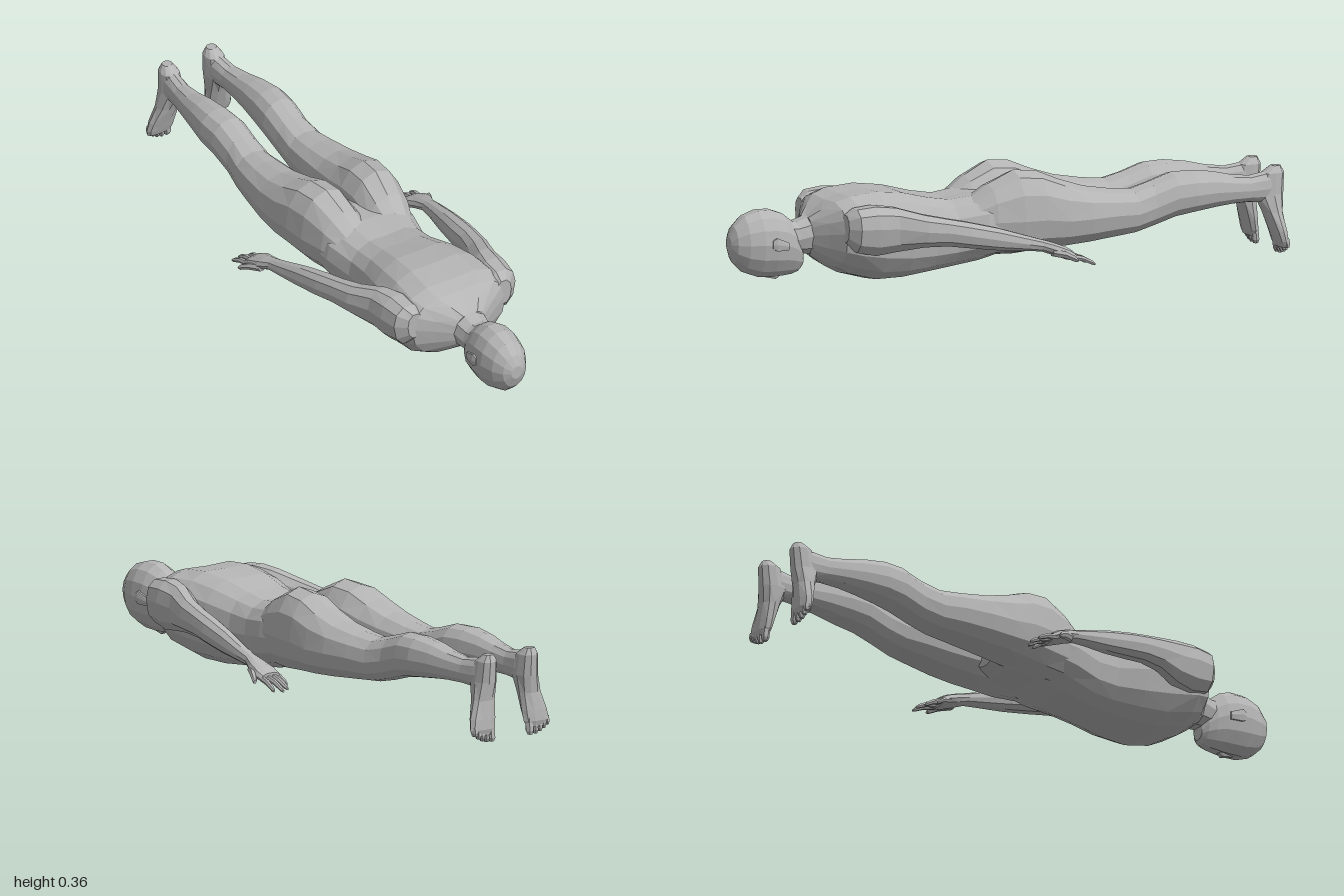
import * as THREE from 'three';

const skin = new THREE.MeshStandardMaterial({ color: 0xb4b4b4, flatShading: true });
skin.name = 'grey';

// Loft through rings [centreX, t, halfWidth, low, mid, high].
// Along 'z', low/mid/high are heights; along 'y' they are front/mid/back depths.
// t must decrease from ring to ring.
function loft(name, rings, { axis = 'z', sides = 12, side = 1, power = 0.9, groove = 0 } = {}) {
  const pos = [], index = [];
  const add = (x, t, v) => (axis === 'z' ? pos.push(x, v, t) : pos.push(x, t, v));
  const bend = (v) => Math.sign(v) * Math.pow(Math.abs(v), power);
  for (const [cx, t, rx, lo, mid, hi] of rings) {
    for (let i = 0; i < sides; i++) {
      const a = (i / sides) * Math.PI * 2;
      const c = bend(Math.cos(a)), s = bend(Math.sin(a));
      let v = mid + (s > 0 ? s * (hi - mid) : s * (mid - lo));
      if (s > 0.99) v -= groove;
      add(cx * side + rx * c, t, v);
    }
  }
  const last = rings.length - 1;
  for (let r = 0; r < last; r++) {
    for (let i = 0; i < sides; i++) {
      const a = r * sides + i, a1 = r * sides + (i + 1) % sides;
      const b = a + sides, b1 = a1 + sides;
      if ((r + i) % 2) index.push(a, b, a1, a1, b, b1);
      else index.push(a, b, b1, a, b1, a1);
    }
  }
  // end caps
  for (const r of [0, last]) {
    const [cx, t, , lo, , hi] = rings[r];
    const centre = pos.length / 3;
    add(cx * side, t, (lo + hi) / 2);
    for (let i = 0; i < sides; i++) {
      const p = r * sides + i, q = r * sides + (i + 1) % sides;
      if (r === 0) index.push(centre, p, q);
      else index.push(centre, q, p);
    }
  }
  const g = new THREE.BufferGeometry();
  g.setAttribute('position', new THREE.Float32BufferAttribute(pos, 3));
  g.setIndex(index);
  g.computeVertexNormals();
  const m = new THREE.Mesh(g, skin);
  m.name = name;
  return m;
}

// Tapering digit bent at the middle, running from base to tip
function digit(name, base, tip, r, side) {
  const rings = [[0, 1], [0.5, 0.95], [0.88, 0.8], [1, 0.4]].map(([k, w]) => {
    const x = THREE.MathUtils.lerp(base[0], tip[0], k);
    const y = THREE.MathUtils.lerp(base[1], tip[1], k) + Math.sin(k * Math.PI) * 0.006;
    const z = THREE.MathUtils.lerp(base[2], tip[2], k);
    return [x, z, r * w, y - r * w, y, y + r * w];
  });
  return loft(name, rings, { sides: 6, side });
}

function buildHead() {
  const g = new THREE.Group();
  g.name = 'head';
  g.add(loft('skull', [
    [0, 1.0, 0.022, 0.15, 0.175, 0.2],
    [0, 0.985, 0.046, 0.11, 0.175, 0.235],
    [0, 0.95, 0.068, 0.075, 0.175, 0.268],
    [0, 0.9, 0.08, 0.056, 0.175, 0.284],
    [0, 0.85, 0.08, 0.053, 0.17, 0.283],
    [0, 0.81, 0.073, 0.054, 0.165, 0.268],
    [0, 0.775, 0.062, 0.057, 0.15, 0.24],
    [0, 0.75, 0.046, 0.065, 0.13, 0.215],
    [0, 0.735, 0.024, 0.08, 0.11, 0.15],
  ], { sides: 14, power: 1 }));
  g.add(loft('nose', [
    [0, 0.875, 0.008, 0.054, 0.065, 0.08],
    [0, 0.83, 0.015, 0.043, 0.06, 0.08],
    [0, 0.818, 0.012, 0.052, 0.06, 0.08],
  ], { sides: 6 }));
  for (const side of [1, -1]) {
    g.add(loft('ear', [
      [0.078, 0.875, 0.005, 0.16, 0.175, 0.19],
      [0.081, 0.86, 0.007, 0.15, 0.175, 0.2],
      [0.074, 0.815, 0.007, 0.15, 0.165, 0.18],
    ], { sides: 6, side }));
  }
  g.add(loft('neck', [
    [0, 0.82, 0.05, 0.13, 0.18, 0.245],
    [0, 0.76, 0.057, 0.125, 0.18, 0.236],
    [0, 0.71, 0.066, 0.12, 0.19, 0.25],
    [0, 0.65, 0.09, 0.11, 0.19, 0.28],
  ], { sides: 10 }));
  return g;
}

function buildLeg(side) {
  const g = new THREE.Group();
  g.name = side > 0 ? 'leftLeg' : 'rightLeg';
  g.add(loft('buttockThighAndCalf', [
    [0.08, 0.16, 0.07, 0.1, 0.19, 0.27],
    [0.088, 0.09, 0.09, 0.08, 0.2, 0.318],
    [0.098, 0.0, 0.1, 0.078, 0.2, 0.36],
    [0.104, -0.08, 0.103, 0.085, 0.2, 0.352],
    [0.11, -0.16, 0.101, 0.09, 0.19, 0.318],
    [0.112, -0.25, 0.095, 0.096, 0.19, 0.288],
    [0.108, -0.35, 0.085, 0.105, 0.19, 0.27],
    [0.104, -0.43, 0.074, 0.112, 0.185, 0.262],
    [0.1, -0.5, 0.066, 0.128, 0.2, 0.28],
    [0.101, -0.58, 0.068, 0.152, 0.225, 0.305],
    [0.105, -0.65, 0.066, 0.163, 0.23, 0.306],
    [0.103, -0.73, 0.055, 0.172, 0.23, 0.295],
    [0.1, -0.8, 0.045, 0.178, 0.225, 0.278],
    [0.095, -0.87, 0.036, 0.178, 0.22, 0.268],
    [0.09, -0.93, 0.035, 0.172, 0.22, 0.276],
    [0.088, -0.975, 0.028, 0.18, 0.23, 0.285],
  ], { side }));
  g.add(loft('foot', [
    [0.088, 0.293, 0.018, -0.955, -0.972, -0.988],
    [0.088, 0.27, 0.033, -0.92, -0.96, -1.0],
    [0.089, 0.2, 0.037, -0.895, -0.95, -0.996],
    [0.098, 0.14, 0.041, -0.922, -0.958, -0.988],
    [0.11, 0.08, 0.051, -0.944, -0.968, -0.994],
    [0.115, 0.045, 0.052, -0.956, -0.974, -0.996],
    [0.117, 0.025, 0.044, -0.964, -0.976, -0.99],
  ], { axis: 'y', side, sides: 10 }));
  // toes, largest on the inner side
  for (let i = 0; i < 5; i++) {
    const x = [0.082, 0.105, 0.123, 0.139, 0.154][i];
    const r = [0.014, 0.0095, 0.009, 0.0085, 0.008][i];
    const tip = [0, 0.001, 0.006, 0.014, 0.024][i];
    g.add(loft('toe', [
      [x, 0.055, r, -0.965, -0.975, -0.99],
      [x, tip + 0.012, r, -0.968, -0.98, -0.994],
      [x, tip, r * 0.6, -0.974, -0.982, -0.99],
    ], { axis: 'y', side, sides: 6 }));
  }
  return g;
}

function buildArm(side) {
  const g = new THREE.Group();
  g.name = side > 0 ? 'leftArm' : 'rightArm';
  g.add(loft('shoulderToPalm', [
    [0.175, 0.655, 0.03, 0.18, 0.23, 0.275],
    [0.185, 0.625, 0.056, 0.145, 0.23, 0.297],
    [0.188, 0.56, 0.064, 0.13, 0.23, 0.303],
    [0.203, 0.49, 0.052, 0.14, 0.225, 0.295],
    [0.238, 0.4, 0.046, 0.155, 0.212, 0.268],
    [0.257, 0.32, 0.04, 0.155, 0.204, 0.25],
    [0.268, 0.25, 0.041, 0.145, 0.19, 0.235],
    [0.284, 0.15, 0.035, 0.132, 0.17, 0.21],
    [0.3, 0.05, 0.028, 0.125, 0.15, 0.178],
    [0.306, 0.0, 0.025, 0.12, 0.14, 0.162],
    [0.312, -0.04, 0.036, 0.105, 0.126, 0.15],
    [0.312, -0.085, 0.045, 0.088, 0.108, 0.132],
    [0.31, -0.11, 0.042, 0.083, 0.098, 0.116],
  ], { side, sides: 10 }));
  // fingers, innermost first
  g.add(digit('littleFinger', [0.277, 0.105, -0.08], [0.266, 0.075, -0.14], 0.009, side));
  g.add(digit('ringFinger', [0.298, 0.102, -0.1], [0.29, 0.068, -0.173], 0.01, side));
  g.add(digit('middleFinger', [0.32, 0.1, -0.1], [0.32, 0.067, -0.187], 0.01, side));
  g.add(digit('indexFinger', [0.341, 0.1, -0.095], [0.352, 0.07, -0.178], 0.01, side));
  g.add(digit('thumb', [0.332, 0.118, -0.03], [0.374, 0.092, -0.105], 0.014, side));
  return g;
}

export function createModel() {
  const model = new THREE.Group();
  model.name = 'proneFigure';
  model.add(loft('torso', [
    [0, 0.72, 0.06, 0.13, 0.19, 0.25],
    [0, 0.685, 0.12, 0.1, 0.2, 0.28],
    [0, 0.65, 0.185, 0.075, 0.21, 0.308],
    [0, 0.6, 0.205, 0.048, 0.21, 0.325],
    [0, 0.5, 0.195, 0.02, 0.2, 0.334],
    [0, 0.4, 0.18, 0.02, 0.18, 0.322],
    [0, 0.3, 0.156, 0.03, 0.165, 0.295],
    [0, 0.22, 0.154, 0.04, 0.165, 0.28],
    [0, 0.12, 0.176, 0.055, 0.18, 0.29],
    [0, 0.02, 0.18, 0.08, 0.185, 0.285],
    [0, -0.08, 0.12, 0.092, 0.18, 0.26],
    [0, -0.14, 0.05, 0.11, 0.17, 0.22],
  ], { sides: 16, power: 0.8, groove: 0.01 }));
  model.add(buildHead());
  for (const side of [1, -1]) model.add(buildLeg(side), buildArm(side));
  return model;
}
